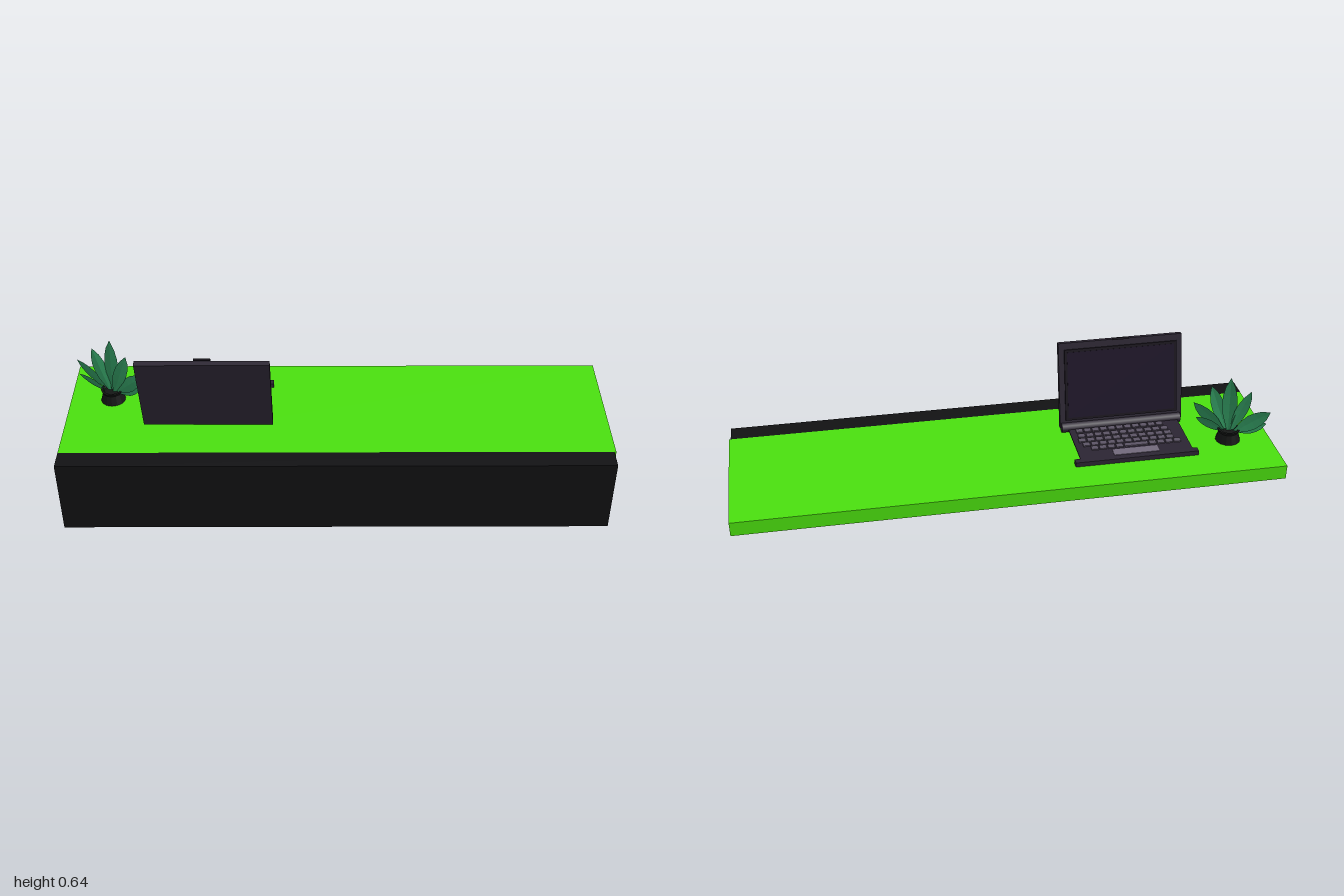
import * as THREE from 'three';

const mat = (color, extra = {}) => new THREE.MeshStandardMaterial({ color, ...extra });
const GREEN = mat(0x4ade0e);
const BLACK = mat(0x111113);
const SHELL = mat(0x2b2532);
const DARK = mat(0x18131c);
const SCREEN = mat(0x1b1226);
const KEY = mat(0x5b5364);
const PAD = mat(0x71687b);
const POT = mat(0x141615, { flatShading: true });
const LEAF = mat(0x2f8f5b, { side: THREE.DoubleSide, flatShading: true });

// Box given by its min and max along each axis
function box(parent, name, [x0, x1], [y0, y1], [z0, z1], material) {
  const mesh = new THREE.Mesh(new THREE.BoxGeometry(x1 - x0, y1 - y0, z1 - z0), material);
  mesh.position.set((x0 + x1) / 2, (y0 + y1) / 2, (z0 + z1) / 2);
  mesh.name = name;
  parent.add(mesh);
  return mesh;
}

function group(name, parent) {
  const g = new THREE.Group();
  g.name = name;
  parent.add(g);
  return g;
}

function addDesk(root) {
  const desk = group('desk', root);
  box(desk, 'deskTop', [-1, 1], [0.236, 0.291], [-0.302, 0.228], GREEN);
  box(desk, 'frontPanel', [-1, 0.993], [0, 0.291], [0.2265, 0.303], BLACK);
  box(desk, 'underRail', [-0.99, 0.98], [0.22, 0.237], [0.118, 0.218], BLACK);
}

function addLaptop(root) {
  const laptop = group('laptop', root);

  // Thin keyboard deck, palm edge and rear hinge
  box(laptop, 'keyboardDeck', [-0.685, -0.262], [0.306, 0.311], [-0.17, 0.06], SHELL);
  box(laptop, 'palmEdge', [-0.702, -0.24], [0.294, 0.312], [-0.181, -0.157], SHELL);
  box(laptop, 'touchpad', [-0.56, -0.39], [0.31, 0.313], [-0.155, -0.119], PAD);
  const hinge = new THREE.Mesh(new THREE.CylinderGeometry(0.019, 0.019, 0.46, 8), SHELL);
  hinge.rotation.z = Math.PI / 2;
  hinge.position.set(-0.468, 0.312, 0.06);
  hinge.name = 'hinge';
  laptop.add(hinge);

  // Keys: rows run from the palm edge towards the hinge
  const keys = group('keys', laptop);
  const rows = [
    { z: -0.1, x0: -0.655, x1: -0.31 },
    { z: -0.072, x0: -0.635, x1: -0.285 },
    { z: -0.043, x0: -0.635, x1: -0.275 },
    { z: -0.012, x0: -0.63, x1: -0.28 },
    { z: 0.022, x0: -0.62, x1: -0.28 },
  ];
  rows.forEach(({ z, x0, x1 }, r) => {
    const count = 11;
    const step = (x1 - x0) / count;
    for (let i = 0; i < count; i++) {
      // The space bar replaces the middle of the first row
      if (r === 0 && i > 3 && i < 7) continue;
      const x = x0 + i * step;
      const key = box(keys, 'key', [x, x + step * 0.82], [0.3125, 0.3175], [z - 0.01, z + 0.01], KEY);
      key.rotation.x = -0.1;
    }
    if (r === 0) box(keys, 'spaceBar', [x0 + 4 * step, x0 + 6.82 * step], [0.3125, 0.3175], [z - 0.01, z + 0.01], KEY);
  });

  // Lid leaning towards the front; its screen looks to the back
  const lid = group('lid', laptop);
  lid.position.set(-0.47, 0.307, 0.071);
  lid.rotation.x = 0.236;
  box(lid, 'lidShell', [-0.236, 0.236], [0, 0.33], [-0.011, 0.011], SHELL);
  box(lid, 'screenBezel', [-0.215, 0.215], [0.03, 0.305], [-0.017, -0.01], DARK);
  box(lid, 'screen', [-0.205, 0.205], [0.04, 0.295], [-0.018, -0.016], SCREEN);
  box(lid, 'camera', [-0.03, 0.03], [0.328, 0.336], [-0.017, -0.01], DARK);
}

// Pointed leaf blade with a raised midrib, growing along +y
function leafGeometry(length, width) {
  const profile = [0.16, 0.5, 0.85, 1, 0.92, 0.62, 0];
  const n = profile.length;
  const positions = [];
  const indices = [];
  profile.forEach((w, i) => {
    const t = i / (n - 1);
    const half = (w * width) / 2;
    positions.push(-half, t * length, 0, 0, t * length, 0.16 * half, half, t * length, 0);
    if (i === n - 1) return;
    for (let k = 0; k < 2; k++) {
      const a = i * 3 + k;
      indices.push(a, a + 1, a + 4, a, a + 4, a + 3);
    }
  });
  const geometry = new THREE.BufferGeometry();
  geometry.setAttribute('position', new THREE.Float32BufferAttribute(positions, 3));
  geometry.setIndex(indices);
  geometry.computeVertexNormals();
  return geometry;
}

function addPlant(root) {
  const plant = group('plant', root);
  plant.position.set(-0.842, 0.291, -0.092);

  // Pot, wider at the foot, with a flared rim
  const profile = [[0, 0], [0.046, 0], [0.036, 0.036], [0.042, 0.048], [0.034, 0.048], [0.03, 0.042], [0, 0.042]];
  const pot = new THREE.Mesh(
    new THREE.LatheGeometry(profile.map(([r, y]) => new THREE.Vector2(r, y)), 14), POT);
  pot.name = 'pot';
  plant.add(pot);

  // Leaves spread as a fan in one upright plane: tip offset, tip height, blade width, twist
  const fan = group('leaves', plant);
  fan.rotation.y = -0.4;
  const leaves = [
    [0.01, 0.266, 0.056, 0.05],
    [-0.068, 0.215, 0.05, 0.35],
    [0.078, 0.218, 0.05, 0.3],
    [-0.145, 0.14, 0.056, -0.25],
    [0.138, 0.142, 0.056, -0.25],
    [-0.135, 0.083, 0.046, -0.35],
    [0.125, 0.083, 0.046, -0.35],
  ];
  leaves.forEach(([u, h, width, twist], i) => {
    const baseX = u * 0.12;
    const baseY = 0.035;
    const dx = u - baseX;
    const dy = h - baseY;
    const holder = new THREE.Group();
    holder.name = 'leafStem';
    holder.position.set(baseX, baseY, (i % 3 - 1) * 0.005);
    holder.rotation.z = -Math.atan2(dx, dy);
    const leaf = new THREE.Mesh(leafGeometry(Math.hypot(dx, dy), width), LEAF);
    leaf.name = 'leaf';
    leaf.rotation.y = twist;
    holder.add(leaf);
    fan.add(holder);
  });
}

export function createModel() {
  const root = new THREE.Group();
  root.name = 'receptionDesk';
  addDesk(root);
  addLaptop(root);
  addPlant(root);
  return root;
}
